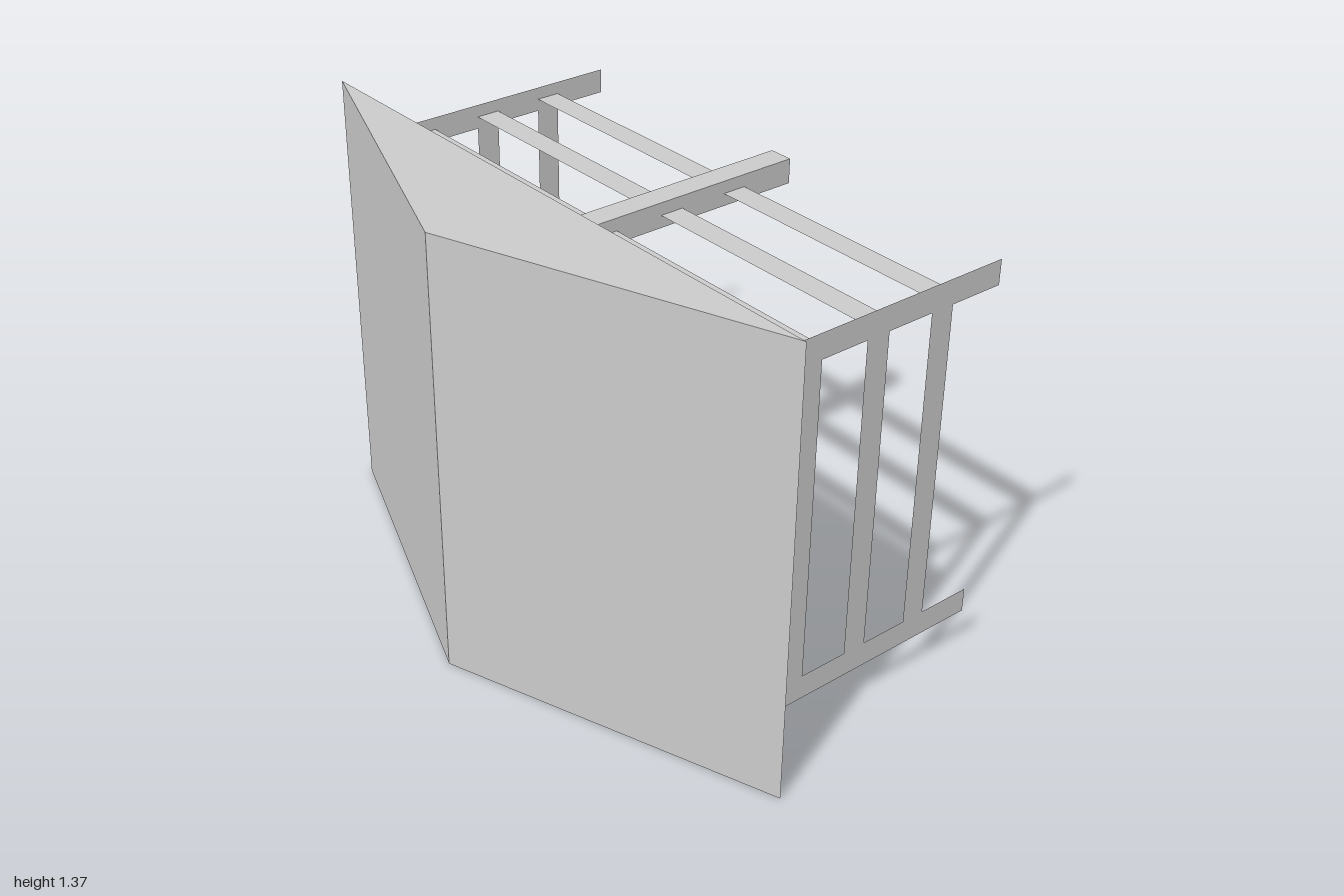
import * as THREE from 'three';

const BACK = -0.605, PLATE = 0.238, FRONT = 0.605; // key depths along z
const HEIGHT = 1.37, SIDE = 0.84, BAR = 0.076;
const LEVELS = [0.161, 1.213];                     // heights of lower and upper rails
const SLATS = [0.062, -0.168, -0.395];             // z of the repeated slats

export function createModel() {
  const group = new THREE.Group();
  const solid = new THREE.MeshStandardMaterial({ color: 0xcccccc, flatShading: true });
  const thin = new THREE.MeshStandardMaterial({ color: 0xcccccc, flatShading: true, side: THREE.DoubleSide });

  const add = (name, geometry, material, x = 0, y = 0, z = 0) => {
    const mesh = new THREE.Mesh(geometry, material);
    mesh.name = name;
    mesh.position.set(x, y, z);
    group.add(mesh);
  };

  // Wedge-shaped front block: a triangle extruded upwards
  const triangle = new THREE.Shape([
    new THREE.Vector2(-1, -PLATE),
    new THREE.Vector2(0, -FRONT),
    new THREE.Vector2(1, -PLATE),
  ]);
  const wedge = new THREE.ExtrudeGeometry(triangle, { depth: HEIGHT, bevelEnabled: false });
  add('frontWedge', wedge.rotateX(-Math.PI / 2), solid);

  const depth = PLATE - BACK, midZ = (PLATE + BACK) / 2;
  const [low, high] = LEVELS;

  // Square beams along the centre line
  for (const y of LEVELS) add('centreBeam', new THREE.BoxGeometry(BAR, BAR, depth), solid, 0, y, midZ);

  // Flat side frames: two rails joined by three posts
  const rail = new THREE.PlaneGeometry(depth, BAR).rotateY(Math.PI / 2);
  const post = new THREE.PlaneGeometry(BAR, high - low - BAR).rotateY(Math.PI / 2);
  for (const x of [-SIDE, SIDE]) {
    for (const y of LEVELS) add('sideRail', rail, thin, x, y, midZ);
    for (const z of SLATS) add('sidePost', post, thin, x, (low + high) / 2, z);
  }

  // Flat slats across the top, from one side frame to the other
  const slat = new THREE.PlaneGeometry(SIDE * 2, BAR).rotateX(-Math.PI / 2);
  for (const z of SLATS) add('topSlat', slat, thin, 0, high, z);

  return group;
}
